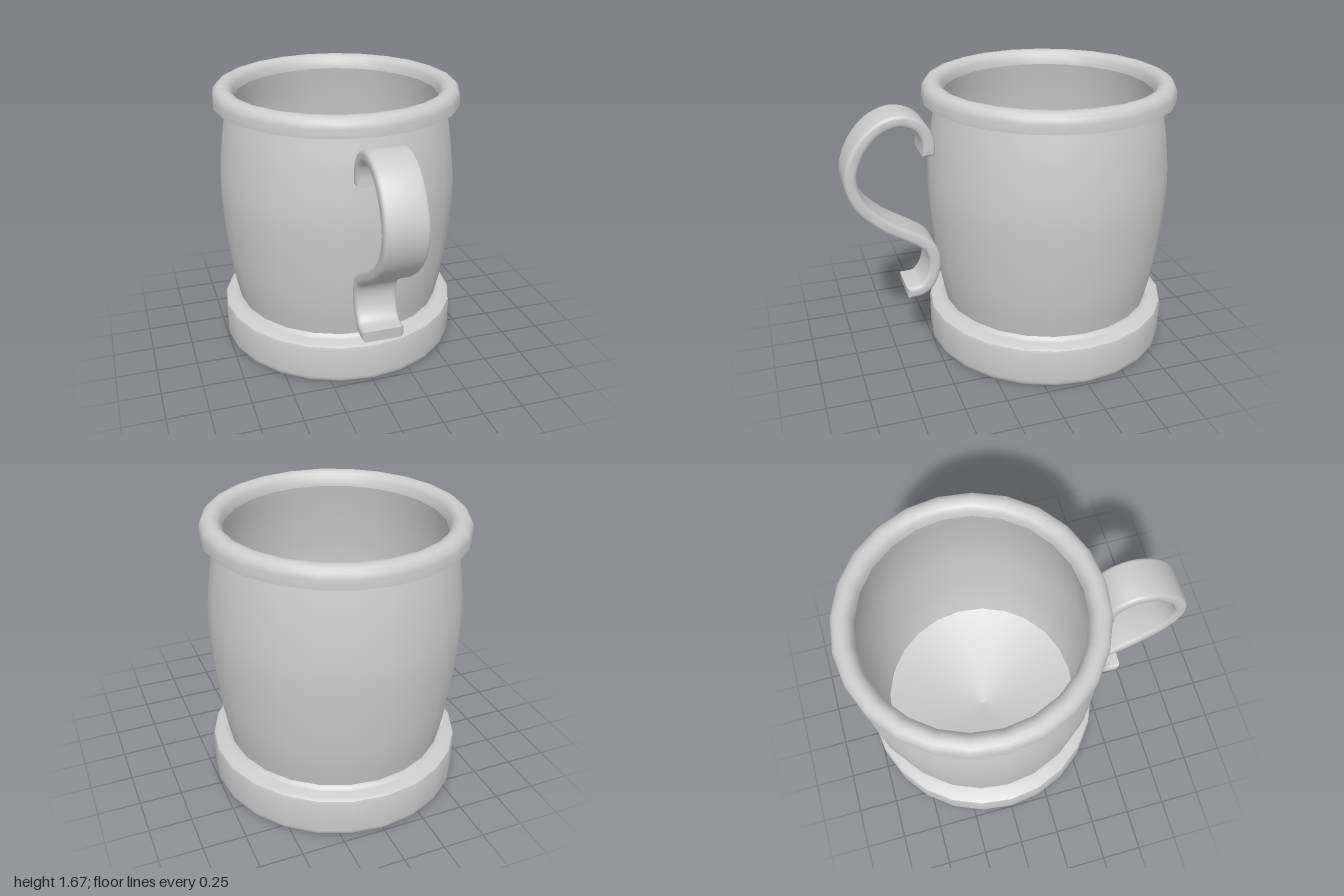
import * as THREE from 'three';
import { toCreasedNormals } from 'three/addons/utils/BufferGeometryUtils.js';

const MUG_Z = -0.25;
const SEGMENTS = 24;

const material = new THREE.MeshStandardMaterial({ color: 0xcccccc, side: THREE.DoubleSide });

const toVectors = (pairs) => pairs.map(([a, b]) => new THREE.Vector2(a, b));
const smooth = (pairs, n) => new THREE.SplineCurve(toVectors(pairs)).getPoints(n);

// Turned part: profile points are (radius, height)
function turned(name, points, crease = 0.65) {
  const geometry = toCreasedNormals(new THREE.LatheGeometry(points, SEGMENTS), crease);
  const mesh = new THREE.Mesh(geometry, material);
  mesh.name = name;
  mesh.position.z = MUG_Z;
  return mesh;
}

// S-shaped strap: a constant-thickness band, extruded across x with rounded edges
function createHandle() {
  const width = 0.25, half = 0.036, bevel = 0.022;
  const path = new THREE.SplineCurve(toVectors([
    [0.51, 1.3], [0.512, 1.39], [0.56, 1.48], [0.675, 1.523], [0.81, 1.475],
    [0.917, 1.35], [0.963, 1.195], [0.915, 1.035], [0.785, 0.9], [0.62, 0.795],
    [0.53, 0.725], [0.498, 0.63], [0.52, 0.52], [0.58, 0.447], [0.675, 0.436],
  ]));
  const steps = 64, outer = [], inner = [];
  for (let i = 0; i <= steps; i++) {
    const p = path.getPointAt(i / steps);
    const t = path.getTangentAt(i / steps);
    const n = new THREE.Vector2(-t.y, t.x).multiplyScalar(half);
    outer.push(p.clone().add(n));
    inner.push(p.clone().sub(n));
  }
  const geometry = new THREE.ExtrudeGeometry(new THREE.Shape([...outer, ...inner.reverse()]), {
    depth: width - 2 * bevel, bevelEnabled: true, bevelSize: bevel,
    bevelThickness: bevel, bevelOffset: -bevel, bevelSegments: 3,
  });
  geometry.translate(0, 0, bevel - width / 2);
  geometry.rotateY(-Math.PI / 2);
  const mesh = new THREE.Mesh(toCreasedNormals(geometry, 0.7), material);
  mesh.name = 'handle';
  return mesh;
}

export function createModel() {
  const group = new THREE.Group();
  group.name = 'mug';

  // Foot ring with softened edges and a slightly dished underside
  group.add(turned('base', toVectors([
    [0, 0.03], [0.715, 0], [0.735, 0.006], [0.747, 0.02], [0.75, 0.04],
    [0.75, 0.23], [0.745, 0.248], [0.725, 0.26], [0.68, 0.264], [0.66, 0.272], [0.648, 0.29],
  ])));

  // Barrel-shaped outer wall
  group.add(turned('outerWall', smooth([
    [0.648, 0.28], [0.7, 0.56], [0.735, 1], [0.71, 1.33], [0.665, 1.57],
  ], 16)));

  // Rounded lip with a flat underside
  group.add(turned('rim', toVectors([
    [0.66, 1.563], [0.75, 1.563], [0.75, 1.615], [0.743, 1.643], [0.725, 1.665],
    [0.7, 1.675], [0.675, 1.675], [0.65, 1.662], [0.632, 1.635], [0.625, 1.59],
  ])));

  // Hollow inside: curved wall down to a dished floor
  group.add(turned('interior', [
    ...smooth([[0.625, 1.59], [0.672, 1.33], [0.7, 1], [0.67, 0.56], [0.62, 0.3]], 16),
    new THREE.Vector2(0, 0.04),
  ]));

  group.add(createHandle());
  return group;
}
